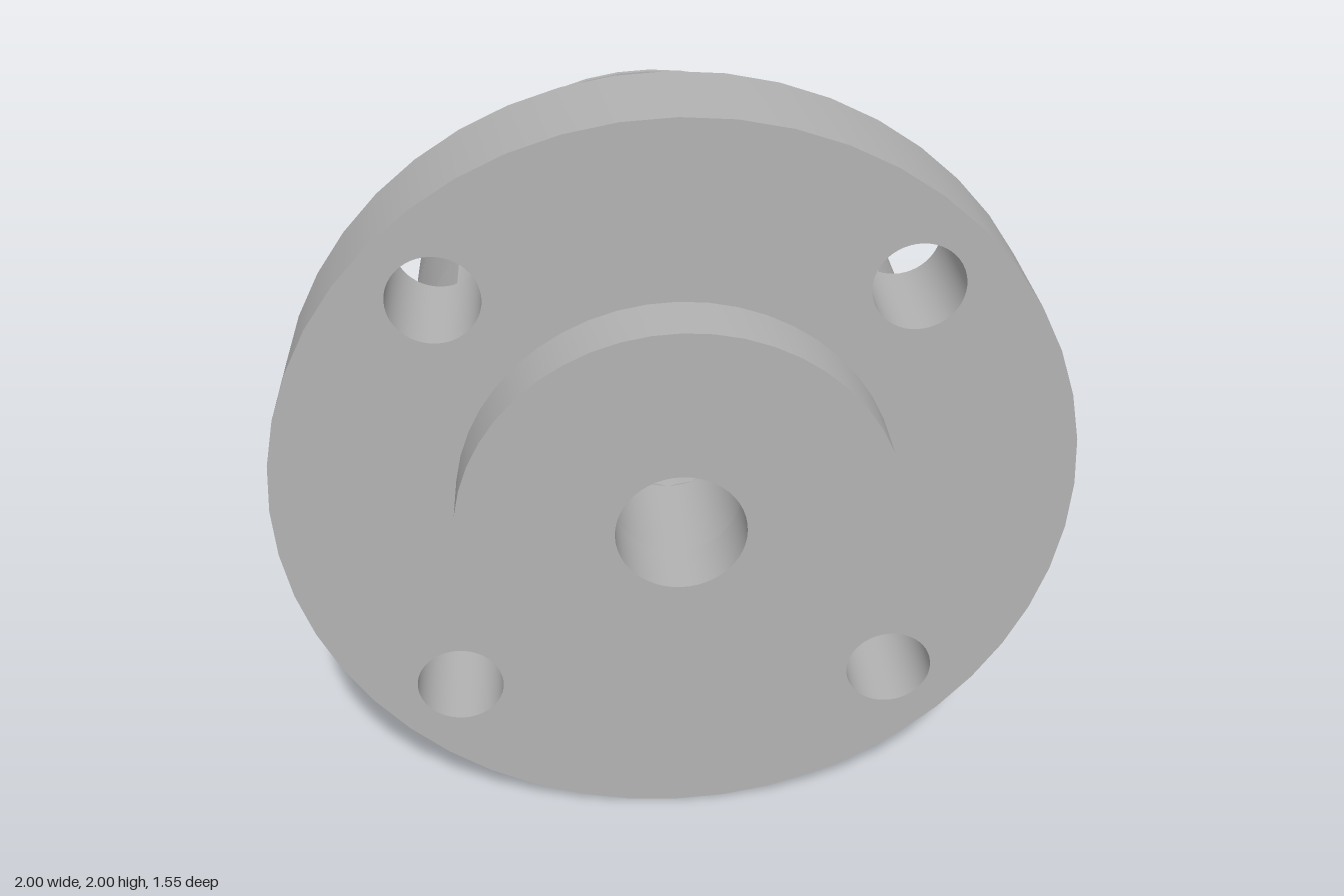
import * as THREE from 'three';
import { toCreasedNormals } from 'three/addons/utils/BufferGeometryUtils.js';

const BORE = 0.16, BODY = 0.7, BOLT_CIRCLE = 0.8, BOLT_R = 0.112;
const boltAngles = [0, 1, 2, 3].map((i) => Math.PI / 4 + (i * Math.PI) / 2);

function addHole(shape, x, y, r) {
  const hole = new THREE.Path();
  hole.absarc(x, y, r, 0, Math.PI * 2, true);
  shape.holes.push(hole);
}

// Round plate with the central bore
function ring(r) {
  const shape = new THREE.Shape();
  shape.absarc(0, 0, r, 0, Math.PI * 2, false);
  addHole(shape, 0, 0, BORE);
  return shape;
}

// Flange plate with four bolt holes
function flangeShape() {
  const shape = ring(1);
  for (const a of boltAngles) addHole(shape, BOLT_CIRCLE * Math.cos(a), BOLT_CIRCLE * Math.sin(a), BOLT_R);
  return shape;
}

// Body section shallowly grooved where the bolt holes graze it
function groovedShape() {
  const a = (BODY ** 2 - BOLT_R ** 2 + BOLT_CIRCLE ** 2) / (2 * BOLT_CIRCLE);
  const h = Math.sqrt(BODY ** 2 - a ** 2);
  const delta = Math.atan2(h, a), phi = Math.atan2(h, BOLT_CIRCLE - a);
  const shape = new THREE.Shape();
  for (const t of boltAngles) {
    shape.absarc(0, 0, BODY, t - Math.PI / 2 + delta, t - delta, false);
    shape.absarc(BOLT_CIRCLE * Math.cos(t), BOLT_CIRCLE * Math.sin(t), BOLT_R,
      t + Math.PI + phi, t + Math.PI - phi, true);
  }
  addHole(shape, 0, 0, BORE);
  return shape;
}

// Body section with a hexagonal nut pocket open to the top
function pocketShape() {
  const w = 0.26, side = 0.3, a = Math.acos(w / BODY);
  const shape = new THREE.Shape();
  shape.absarc(0, 0, BODY, a, Math.PI - a, true);
  shape.lineTo(-w, 0.07);
  shape.lineTo(-side, 0);
  shape.lineTo(-side / 2, -w);
  shape.lineTo(side / 2, -w);
  shape.lineTo(side, 0);
  shape.lineTo(w, 0.07);
  shape.closePath();
  return shape;
}

export function createModel() {
  const group = new THREE.Group();
  group.name = 'flangedCoupling';
  const grey = new THREE.MeshStandardMaterial({ color: 0xb3b3b3 });
  grey.name = 'grey';

  // Sections stacked along z: name, outline, back z, front z, curve segments
  const sections = [
    ['frontBoss', ring(0.545), 0.62, 0.775, 24],
    ['flange', flangeShape(), 0.325, 0.62, 24],
    ['groovedBody', groovedShape(), 0.15, 0.325, 8],
    ['body', ring(BODY), -0.225, 0.15, 24],
    ['nutPocket', pocketShape(), -0.51, -0.225, 24],
    ['bodyEndPlate', ring(BODY), -0.525, -0.51, 24],
    ['rearHub', ring(0.28), -0.775, -0.525, 24],
  ];
  for (const [name, shape, z0, z1, curveSegments] of sections) {
    const geometry = new THREE.ExtrudeGeometry(shape, { depth: z1 - z0, bevelEnabled: false, curveSegments });
    const mesh = new THREE.Mesh(toCreasedNormals(geometry, 0.45), grey);
    mesh.name = name;
    mesh.position.set(0, 1, z0);
    group.add(mesh);
  }
  return group;
}
